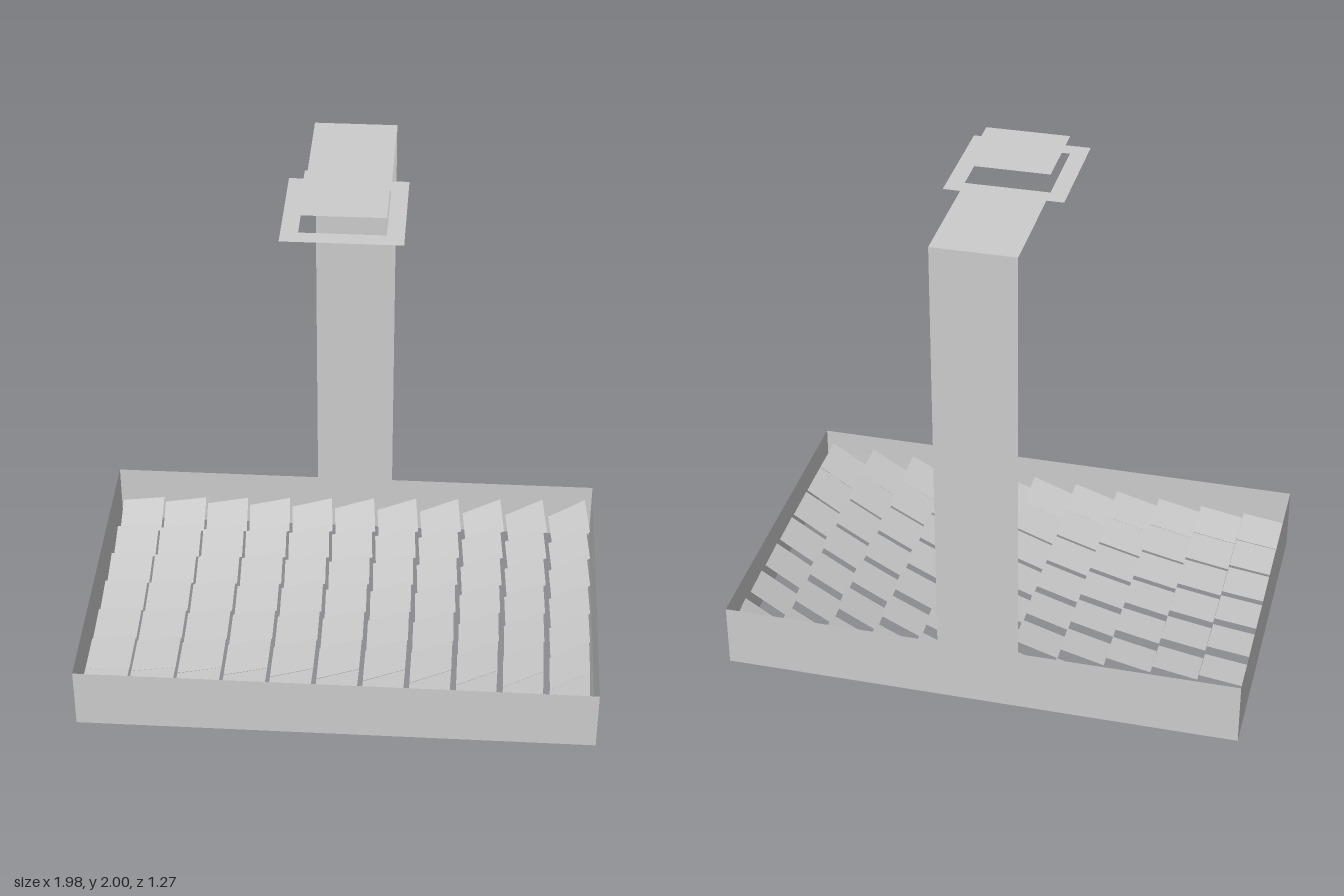
import * as THREE from 'three';

const material = new THREE.MeshStandardMaterial({ color: 0xcccccc, side: THREE.DoubleSide, flatShading: true });
const v3 = (x, y, z) => new THREE.Vector3(x, y, z);

// Flat four-cornered panel: a corner and the two edges leaving it
function panel(name, corner, u, v) {
  const pts = [corner, corner.clone().add(v), corner.clone().add(u).add(v), corner.clone().add(u)];
  const geometry = new THREE.BufferGeometry().setFromPoints(pts);
  geometry.setIndex([0, 1, 2, 0, 2, 3]);
  geometry.computeVertexNormals();
  const mesh = new THREE.Mesh(geometry, material);
  mesh.name = name;
  return mesh;
}

export function createModel() {
  const model = new THREE.Group();
  model.name = 'mirrorFieldWithTower';

  const W = 0.99, D = 0.635, H = 0.25; // tray half width, half depth, height
  const top = 1.93, half = 0.155, collar = 0.218;

  // Open tray: four thin walls without a floor
  const tray = new THREE.Group();
  tray.name = 'tray';
  const up = v3(0, H, 0);
  tray.add(
    panel('frontWall', v3(-W, 0, D), up, v3(2 * W, 0, 0)),
    panel('backWall', v3(W, 0, -D), up, v3(-2 * W, 0, 0)),
    panel('leftWall', v3(W, 0, D), up, v3(0, 0, -2 * D)),
    panel('rightWall', v3(-W, 0, -D), up, v3(0, 0, 2 * D)),
  );
  model.add(tray);

  // Post rising from the back wall and arm reaching forward
  model.add(
    panel('post', v3(half, H, -D), v3(0, top - H, 0), v3(-2 * half, 0, 0)),
    panel('arm', v3(-half, top, -D), v3(2 * half, 0, 0), v3(0, 0, D - collar)),
  );

  // Square collar with an opening
  const square = (Type, r) => {
    const s = new Type();
    s.moveTo(-r, -r).lineTo(r, -r).lineTo(r, r).lineTo(-r, r).closePath();
    return s;
  };
  const ring = square(THREE.Shape, collar);
  ring.holes.push(square(THREE.Path, half));
  const ringMesh = new THREE.Mesh(new THREE.ShapeGeometry(ring).rotateX(-Math.PI / 2), material);
  ringMesh.name = 'collar';
  ringMesh.position.y = top;
  model.add(ringMesh);

  // Receiver plate above the opening
  model.add(panel('receiverPlate', v3(-half, 2, -half), v3(2 * half, 0, 0), v3(0, 0, 2 * half)));

  // Mirror tiles, each turned to send the sun's rays to the receiver
  const field = new THREE.Group();
  field.name = 'mirrorField';
  const size = 0.176, sun = v3(-0.85, 1, 0.23).normalize(), target = v3(0, 2, 0);
  for (let col = 0; col < 11; col++) {
    for (let row = 0; row < 7; row++) {
      const corner = v3(-0.98 + col * 0.1793, 0.1, -0.62 + row * 0.1773);
      const centre = corner.clone().add(v3(size / 2, 0, size / 2));
      const normal = target.clone().sub(centre).normalize().add(sun).normalize();
      const u = v3(normal.y, -normal.x, 0).normalize();
      const v = u.clone().cross(normal);
      field.add(panel('mirrorTile', corner, u.multiplyScalar(size), v.multiplyScalar(size)));
    }
  }
  model.add(field);
  return model;
}
